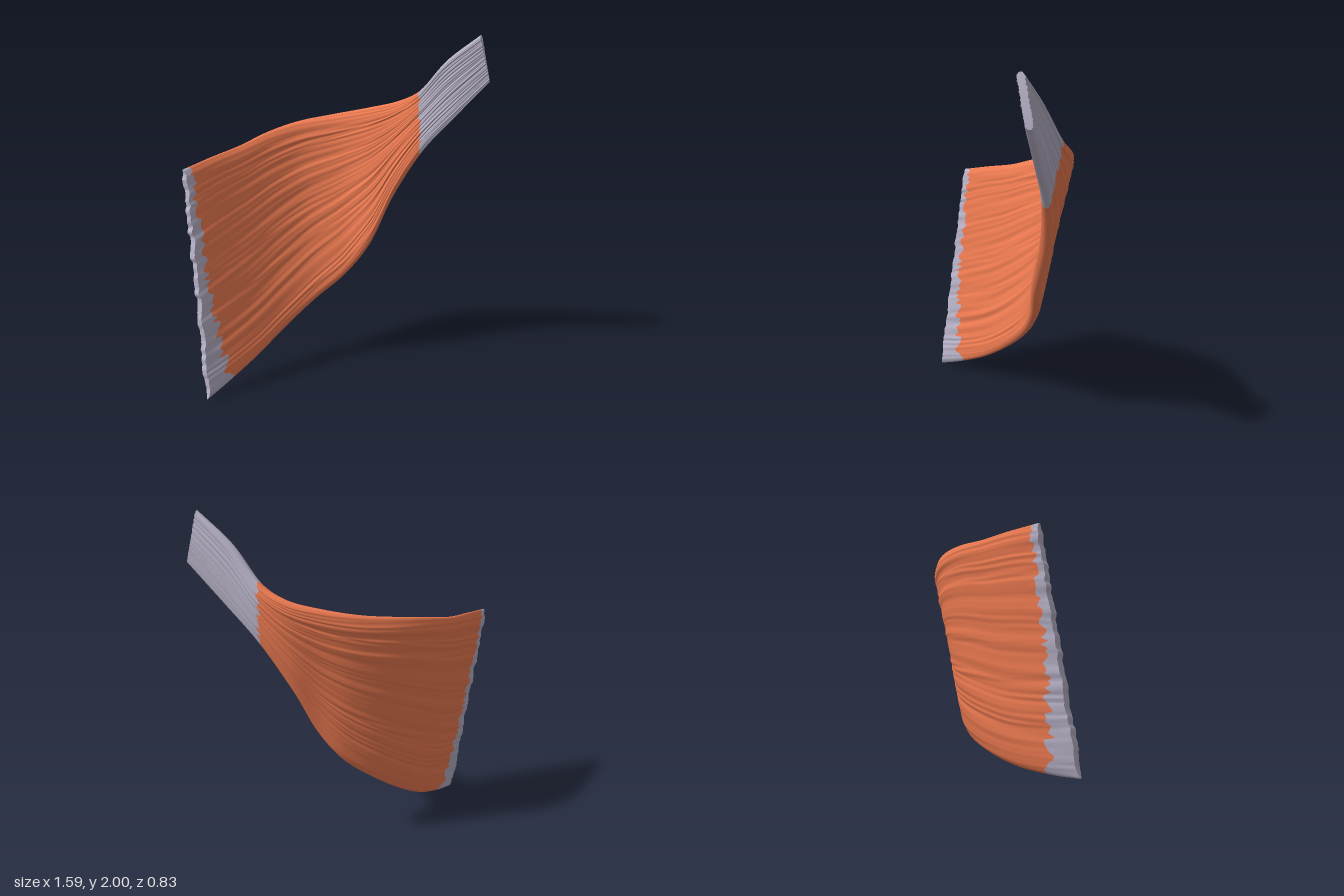
import * as THREE from 'three';

const V = (x, y, z) => new THREE.Vector3(x, y, z);

// Upper and lower border of the sheet, station by station from origin to insertion
const upper = new THREE.CatmullRomCurve3([
  V(-0.78, 1.3, -0.26), V(-0.6, 1.335, -0.31), V(-0.4, 1.37, -0.355), V(-0.2, 1.425, -0.385),
  V(0, 1.47, -0.375), V(0.2, 1.505, -0.3), V(0.37, 1.545, -0.185), V(0.5, 1.59, -0.065),
  V(0.57, 1.66, 0.05), V(0.625, 1.85, 0.22), V(0.705, 2, 0.4),
]);
const lower = new THREE.CatmullRomCurve3([
  V(-0.78, 0, -0.06), V(-0.62, 0.055, -0.11), V(-0.42, 0.14, -0.16), V(-0.22, 0.26, -0.19),
  V(-0.02, 0.405, -0.175), V(0.16, 0.565, -0.1), V(0.28, 0.76, -0.02), V(0.41, 1.04, 0.02),
  V(0.54, 1.31, 0.115), V(0.66, 1.52, 0.25), V(0.785, 1.74, 0.4),
]);

const RING = 400; // points round one cross-section

// Smooth repeatable noise along one axis
const hash = (n) => {
  const s = Math.sin(n * 127.1 + 3.7) * 43758.5453;
  return s - Math.floor(s);
};
const noise = (x) => {
  const i = Math.floor(x), f = x - i, k = f * f * (3 - 2 * f);
  return hash(i) * (1 - k) + hash(i + 1) * k;
};

// Fibre ridges that run along the sheet and fade in and out
function ridge(u, v, side) {
  const w = v + 0.03 * Math.sin(u * 5 + v * 4);
  const fade = 0.5 + 0.5 * Math.sin(u * 13 + noise(v * 18 + 50) * 12);
  return (noise(w * 34 + side * 91) - 0.5) * 0.011 * fade
    + (noise(w * 75 + side * 37) - 0.5) * 0.006 * (1 - 0.5 * fade);
}

// Point on the skin: u along the fibres, a round the thin cross-section
function skin(u, a) {
  const v = 0.5 - 0.5 * Math.cos(a);
  const side = a <= Math.PI ? 1 : -1;
  const e = 0.004, u0 = Math.max(0, u - e), u1 = Math.min(1, u + e);
  const top = upper.getPoint(u), low = lower.getPoint(u);
  const along = lower.getPoint(u1).lerp(upper.getPoint(u1), v)
    .sub(lower.getPoint(u0).lerp(upper.getPoint(u0), v));
  const normal = along.cross(top.clone().sub(low)).normalize();
  const round = Math.sqrt(Math.max(0, 1 - Math.pow(Math.abs(2 * v - 1), 14)));
  const half = 0.02 + 0.013 * Math.sin(Math.PI * u);
  const p = low.lerp(top, v);
  p.addScaledVector(normal, side * round * (half + ridge(u, v, side)));
  // frayed free edge at the origin
  p.x += (noise(v * 45) - 0.5) * 0.016 * Math.max(0, 1 - u * 14);
  return p;
}

// Stretch of the sheet between two borders that vary across the fibres
function sheet(name, color, from, to, rows, cap) {
  const pos = [], index = [];
  for (let r = 0; r <= rows; r++) {
    for (let i = 0; i < RING; i++) {
      const a = (i / RING) * Math.PI * 2;
      const v = 0.5 - 0.5 * Math.cos(a);
      const p = skin(THREE.MathUtils.lerp(from(v), to(v), r / rows), a);
      pos.push(p.x, p.y, p.z);
    }
  }
  for (let r = 0; r < rows; r++) {
    for (let i = 0; i < RING; i++) {
      const j = (i + 1) % RING, A = r * RING, B = A + RING;
      index.push(A + i, B + i, A + j, B + i, B + j, A + j);
    }
  }
  // flat end, on its own copy of the end ring
  if (cap) {
    const start = (cap === 'start' ? 0 : rows) * RING * 3;
    const base = pos.length / 3;
    pos.push(...pos.slice(start, start + RING * 3));
    for (let i = 0; i < RING / 2; i++) {
      const a = base + i, b = base + i + 1;
      const c = base + RING - i - 1, d = base + ((RING - i) % RING);
      if (cap === 'start') index.push(a, b, c, a, c, d);
      else index.push(a, c, b, a, d, c);
    }
  }
  const g = new THREE.BufferGeometry();
  g.setAttribute('position', new THREE.Float32BufferAttribute(pos, 3));
  g.setIndex(index);
  g.computeVertexNormals();
  const mesh = new THREE.Mesh(g, new THREE.MeshStandardMaterial({ color }));
  mesh.name = name;
  return mesh;
}

export function createModel() {
  const group = new THREE.Group();
  group.name = 'muscleSheet';
  const flesh = 0xf07c52, sinew = 0xb9b3c8;

  // Ragged borders between sinew and flesh
  const originEnd = (v) => 0.012 + 0.06 * Math.pow(1 - v, 2.5)
    + noise(v * 70 + 11) * (0.022 + 0.02 * (1 - v));
  const insertionStart = (v) => 0.795 + noise(v * 40 + 200) * 0.015;

  group.add(
    sheet('originTendon', sinew, () => 0, originEnd, 10, 'start'),
    sheet('muscleBelly', flesh, originEnd, insertionStart, 80),
    sheet('insertionTendon', sinew, insertionStart, () => 1, 22, 'end'),
  );
  return group;
}
